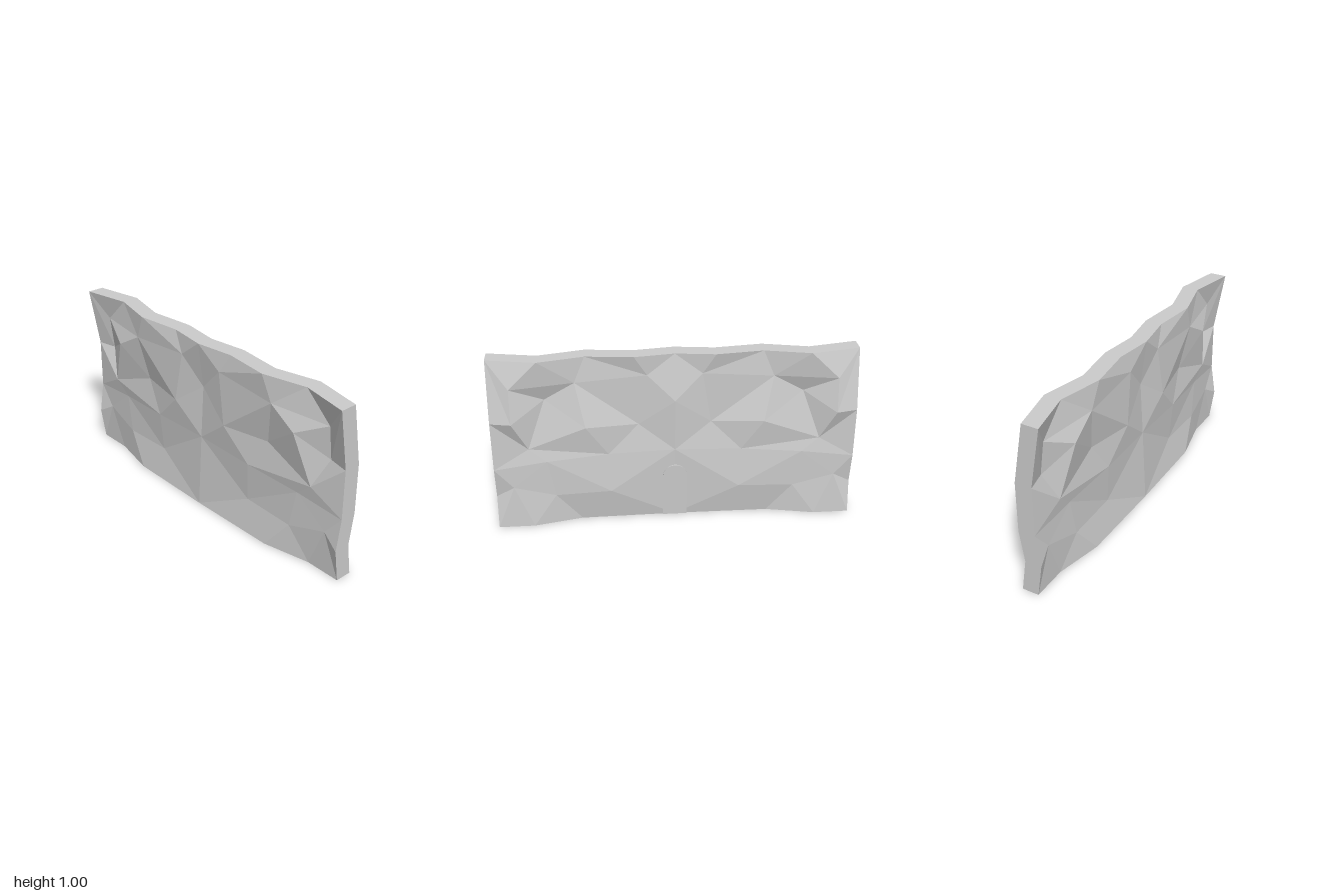
import * as THREE from 'three';

const THICK = 0.095;

// Half of the rock face as [z, y, x]: outline from top centre round to bottom centre
const rim = [
  [0, 1, 0], [0.22, 1, 0.03], [0.48, 1, 0], [0.73, 1, 0.06], [1, 1, 0.005],
  [1, 0.655, 0.065], [1, 0.37, 0.065], [1, 0.19, 0.037], [1, 0, 0.065],
  [0.8, 0, 0.065], [0.53, 0, 0.006], [0, 0, 0],
];
// Facet corners inside the outline (numbered on from 12)
const inner = [
  [0.885, 0.85, 0.065], [0.885, 0.655, 0.09], [0.805, 0.48, 0.04], [0.705, 0.76, 0.003],
  [0.54, 0.855, 0.01], [0.15, 0.885, 0.012], [0.49, 0.6, 0.05], [0.2, 0.59, 0.002],
  [0, 0.735, 0.036], [0.37, 0.42, 0.022], [0, 0.43, 0.02], [0.71, 0.4, 0.047],
  [0.67, 0.18, 0.04], [0.9, 0.25, 0.058], [0.36, 0.19, 0.038],
];
const points = [...rim, ...inner];

// Facets as fans: a hub corner, then its neighbours in order
const fans = [
  [15, 12, 16, 18, 14, 13, 12],
  [12, 13, 4, 3, 16],
  [13, 14, 5, 4],
  [16, 3, 2, 17, 19, 18],
  [17, 2, 1, 0, 20, 19],
  [19, 20, 22, 21, 18],
  [14, 18, 21, 23, 6, 5],
  [26, 22, 11, 10, 24, 23, 21, 22],
  [25, 6, 23, 24, 9, 8, 7, 6],
  [24, 10, 9],
];

function wallGeometry() {
  const pos = [];
  const tri = (a, b, c, flip) => pos.push(...a, ...(flip ? c : b), ...(flip ? b : c));
  for (const side of [1, -1]) {
    const front = ([z, y, x]) => [x, y, side * z];
    const back = ([z, y, x]) => [x - THICK, y, side * z];
    // both broad faces
    for (const [hub, ...ring] of fans)
      for (let i = 0; i < ring.length - 1; i++) {
        const f = [points[hub], points[ring[i]], points[ring[i + 1]]];
        tri(...f.map(front), side > 0);
        tri(...f.map(back), side < 0);
      }
    // top, end and bottom edges
    for (let i = 0; i < rim.length - 1; i++) {
      const a = front(rim[i]), b = front(rim[i + 1]);
      const c = back(rim[i + 1]), d = back(rim[i]);
      tri(a, c, b, side < 0);
      tri(a, d, c, side < 0);
    }
  }
  const geo = new THREE.BufferGeometry();
  geo.setAttribute('position', new THREE.Float32BufferAttribute(pos, 3));
  geo.computeVertexNormals();
  return geo;
}

// Arched door slab sunk into the rock, leaning with the face
function doorGeometry() {
  const r = 0.068, spring = 0.262;
  const shape = new THREE.Shape();
  shape.moveTo(-r, 0);
  shape.lineTo(r, 0);
  shape.lineTo(r, spring);
  shape.absarc(0, spring, r, 0, Math.PI, false);
  shape.lineTo(-r, 0);
  const geo = new THREE.ExtrudeGeometry(shape, { depth: 0.058, bevelEnabled: false, curveSegments: 10 });
  geo.rotateY(Math.PI / 2).translate(-0.05, 0, 0);
  return geo.applyMatrix4(new THREE.Matrix4().makeShear(0, 0, 0.05, 0, 0, 0));
}

export function createModel() {
  const group = new THREE.Group();
  group.name = 'rockWall';
  const material = new THREE.MeshStandardMaterial({ color: 0xcccccc, flatShading: true });
  const add = (name, geo) => {
    const mesh = new THREE.Mesh(geo, material);
    mesh.name = name;
    group.add(mesh);
  };
  add('wall', wallGeometry());
  add('door', doorGeometry());
  return group;
}
